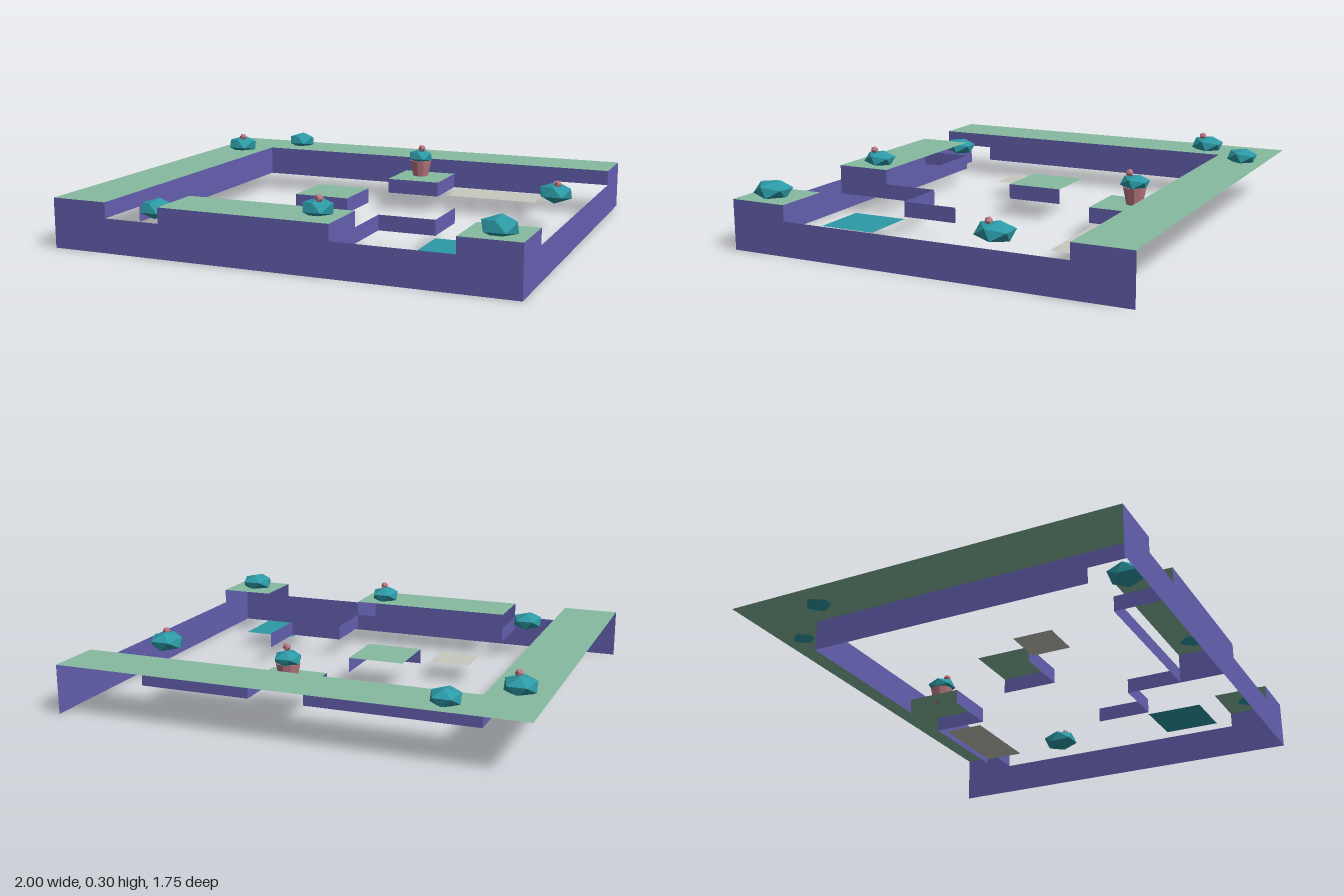
import * as THREE from 'three';

export function createModel() {
  const model = new THREE.Group();
  model.name = 'terracedTerrain';

  const mat = (name, color, opts = {}) => {
    const m = new THREE.MeshStandardMaterial({ color, ...opts });
    m.name = name;
    return m;
  };
  const open = { side: THREE.DoubleSide };
  const grass = mat('grassGreen', 0x86ba9f, open);
  const cliff = mat('cliffPurple', 0x6460b0, open);
  const stone = mat('paleStone', 0xc8c9be, open);
  const teal = mat('leafTeal', 0x2c9aa6, { side: THREE.DoubleSide, flatShading: true });
  const pink = mat('clayPink', 0xbd7a84, { flatShading: true });

  // Terrace levels
  const LOW = 0.08, MID = 0.147, HIGH = 0.214;

  const add = (name, geo, material, parent = model) => {
    const mesh = new THREE.Mesh(geo, material);
    mesh.name = name;
    parent.add(mesh);
    return mesh;
  };
  // Horizontal sheet facing up
  const sheet = (name, x0, x1, z0, z1, y, material) => {
    const g = new THREE.PlaneGeometry(x1 - x0, z1 - z0).rotateX(-Math.PI / 2);
    add(name, g.translate((x0 + x1) / 2, y, (z0 + z1) / 2), material);
  };
  // Vertical sheet facing the front
  const wallZ = (name, x0, x1, z, y0, y1) => {
    const g = new THREE.PlaneGeometry(x1 - x0, y1 - y0);
    add(name, g.translate((x0 + x1) / 2, (y0 + y1) / 2, z), cliff);
  };
  // Vertical sheet facing +x
  const wallX = (name, x, z0, z1, y0, y1) => {
    const g = new THREE.PlaneGeometry(z1 - z0, y1 - y0).rotateY(Math.PI / 2);
    add(name, g.translate(x, (y0 + y1) / 2, (z0 + z1) / 2), cliff);
  };
  // Outer wall with notches, from [along, height] corners
  const skyline = (points) => new THREE.ShapeGeometry(
    new THREE.Shape(points.map(([a, h]) => new THREE.Vector2(a, h))));

  // Grass tops
  sheet('backGrass', -1, 1, -0.875, -0.625, HIGH, grass);
  sheet('sideGrass', -1, -0.75, -0.625, 0.875, HIGH, grass);
  sheet('frontGrass', -0.5, 0.25, 0.625, 0.875, HIGH, grass);
  sheet('cornerGrass', 0.75, 1, 0.625, 0.875, HIGH, grass);
  sheet('potStepGrass', 0, 0.25, -0.625, -0.375, MID, grass);
  sheet('middleStepGrass', -0.25, 0, -0.125, 0.125, MID, grass);

  // Slabs and pool
  sheet('longSlab', 0.285, 0.71, -0.595, -0.41, LOW + 0.002, stone);
  sheet('smallSlab', -0.465, -0.285, 0.16, 0.335, LOW + 0.002, stone);
  sheet('pool', 0.5, 0.75, 0.375, 0.625, 0.07, teal);

  // Outer walls
  add('frontWall', skyline([
    [-1, 0], [1, 0], [1, HIGH], [0.75, HIGH], [0.75, MID], [0.25, MID], [0.25, HIGH],
    [-0.5, HIGH], [-0.5, MID], [-0.75, MID], [-0.75, HIGH], [-1, HIGH],
  ]).translate(0, 0, 0.875), cliff);
  add('leftWall', skyline([
    [-0.875, 0], [0.875, 0], [0.875, HIGH], [0.625, HIGH], [0.625, MID],
    [-0.625, MID], [-0.625, HIGH], [-0.875, HIGH],
  ]).rotateY(Math.PI / 2).translate(1, 0, 0), cliff);

  // Inner cliffs
  wallZ('backCliff', -0.75, 0, -0.625, LOW, HIGH);
  wallZ('backCliffAbovePot', 0, 0.25, -0.625, MID, HIGH);
  wallZ('backCliff', 0.25, 0.75, -0.625, LOW, HIGH);
  wallZ('backCliffEnd', 0.75, 1, -0.625, MID, HIGH);
  wallX('sideCliff', -0.75, -0.625, 0.625, LOW, HIGH);
  wallX('sideCliffEnd', -0.75, 0.625, 0.875, MID, HIGH);
  wallX('frontBlockSide', 0.25, 0.625, 0.875, LOW, HIGH);

  // Low step risers
  for (const [x0, x1, z] of [
    [0, 0.25, -0.375], [-0.25, 0, 0.125], [0.25, 0.5, 0.375], [-0.5, 0.25, 0.625],
  ]) wallZ('stepFront', x0, x1, z, LOW, MID);
  for (const [x, z0, z1] of [
    [0.25, -0.625, -0.375], [0, -0.125, 0.125], [0.25, 0.375, 0.625],
    [0.5, 0.125, 0.375], [-0.5, 0.625, 0.875],
  ]) wallX('stepSide', x, z0, z1, LOW, MID);

  // Squashed bushes, some with a bud on top
  const bush = (x, z, level, width, bud) => {
    const g = new THREE.Group();
    g.name = 'bush';
    g.position.set(x, level + 0.024, z);
    const r = width / 1.7;
    add('leaves', new THREE.IcosahedronGeometry(r, 0)
      .rotateY(Math.PI / 2).rotateX(0.25).scale(1, 0.57, 1.05), teal, g);
    if (bud) {
      add('bud', new THREE.IcosahedronGeometry(0.018, 0), pink, g)
        .position.set(0.013, 0.042, 0.02);
    }
    model.add(g);
  };
  bush(-0.87, -0.53, HIGH, 0.13, true);
  bush(-0.645, -0.77, HIGH, 0.12, false);
  bush(0.845, -0.245, MID, 0.14, true);
  bush(-0.6, 0.72, MID, 0.128, false);
  bush(0.14, 0.73, HIGH, 0.123, true);
  bush(0.88, 0.765, HIGH, 0.137, false);

  // Potted bush
  bush(0.11, -0.525, 0.217, 0.108, true);
  add('pot', new THREE.CylinderGeometry(0.052, 0.036, 0.075, 10), pink)
    .position.set(0.11, MID + 0.0375, -0.525);

  return model;
}
